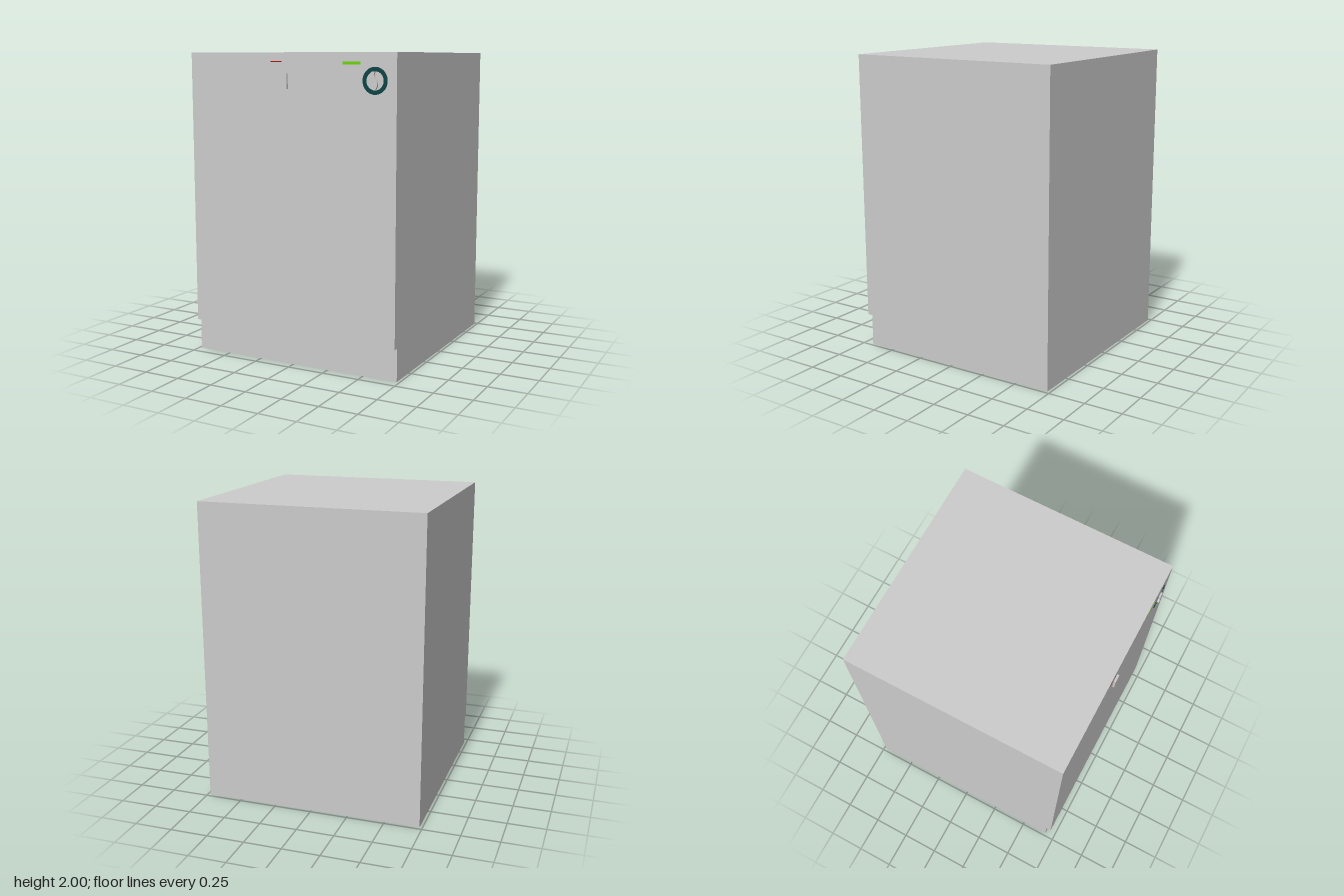
import * as THREE from 'three';

const FRONT = 0.717, BACK = -0.73, HALF = 0.732, KICK = 0.212;

function add(group, name, geometry, color = 0xcccccc) {
  const material = new THREE.MeshStandardMaterial({ color });
  const mesh = new THREE.Mesh(geometry, material);
  mesh.name = name;
  group.add(mesh);
  return mesh;
}

// Box given by its lower and upper corners
function block(x0, x1, y0, y1, z0, z1) {
  return new THREE.BoxGeometry(x1 - x0, y1 - y0, z1 - z0)
    .translate((x0 + x1) / 2, (y0 + y1) / 2, (z0 + z1) / 2);
}

export function createModel() {
  const group = new THREE.Group();
  group.name = 'dishwasher';

  // Cabinet: side profile with the recessed toe kick, extruded across the width
  const profile = new THREE.Shape([
    [-BACK, 0], [-BACK, 2], [-FRONT, 2], [-FRONT, KICK], [-0.682, KICK], [-0.682, 0],
  ].map(([x, y]) => new THREE.Vector2(x, y)));
  const cabinet = new THREE.ExtrudeGeometry(profile, { depth: HALF * 2, bevelEnabled: false });
  cabinet.translate(0, 0, -HALF).rotateY(Math.PI / 2);
  add(group, 'cabinet', cabinet);

  // Raised button and flat indicator strips
  add(group, 'button', block(-0.058, -0.006, 1.777, 1.87, FRONT, 0.73));
  add(group, 'redIndicator', block(-0.127, -0.048, 1.942, 1.948, FRONT, FRONT + 0.001), 0xb01212);
  add(group, 'greenIndicator', block(0.375, 0.496, 1.928, 1.945, FRONT, FRONT + 0.001), 0x6fd010);

  // Flat ring around the steam emblem
  const ring = add(group, 'ring', new THREE.RingGeometry(0.056, 0.082, 48), 0x0e4444);
  ring.position.set(0.591, 1.832, FRONT + 0.001);

  // Raised wavy band inside the ring
  const wave = new THREE.Shape();
  wave.moveTo(-0.018, 0.053);
  wave.bezierCurveTo(-0.042, 0.01, 0.022, 0, -0.014, -0.053);
  wave.lineTo(0.008, -0.053);
  wave.bezierCurveTo(0.046, 0, -0.018, 0.01, 0.004, 0.053);
  const band = new THREE.ExtrudeGeometry(wave, { depth: 0.013, bevelEnabled: false, curveSegments: 14 });
  add(group, 'steamWave', band).position.set(0.591, 1.833, FRONT);

  return group;
}
